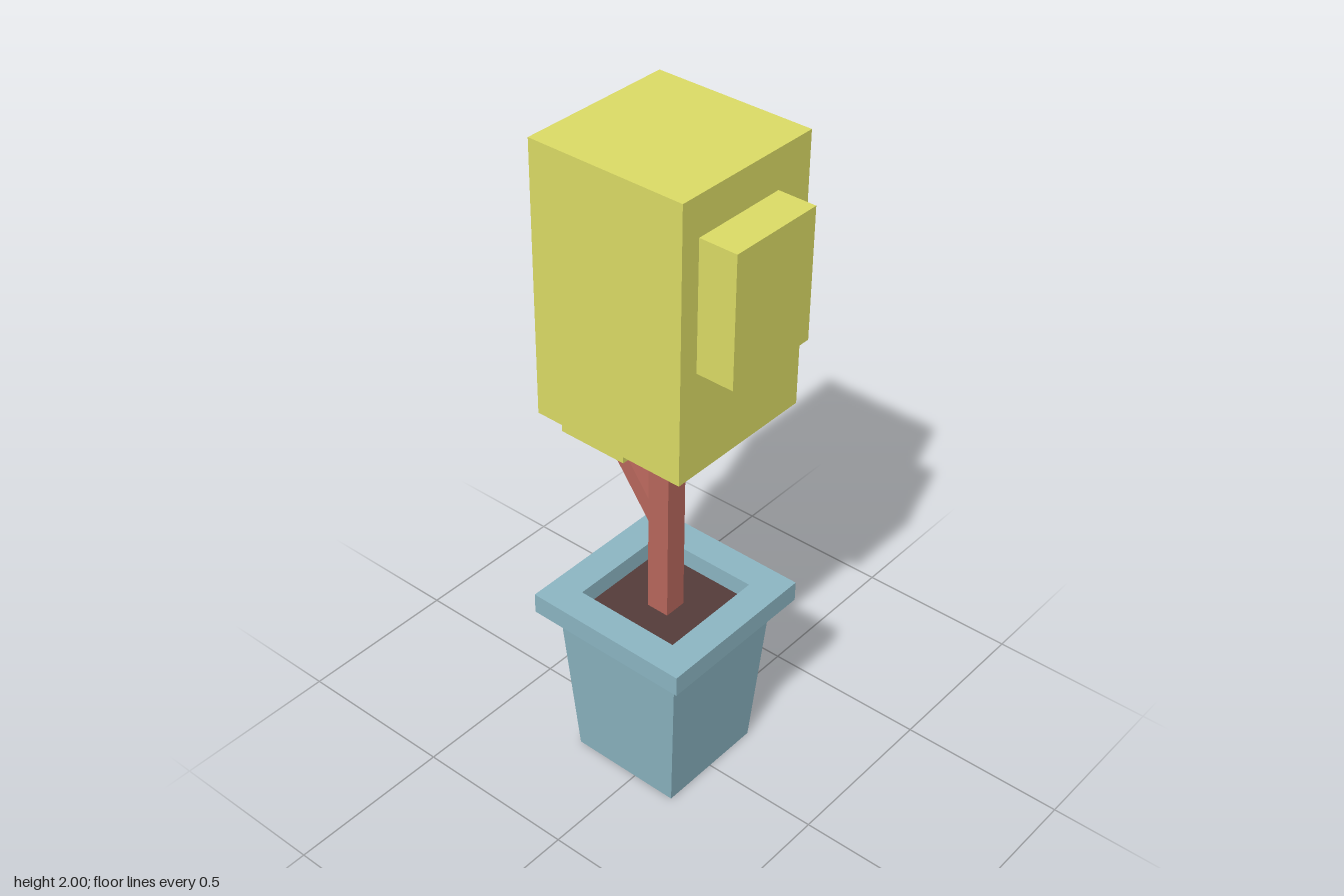
import * as THREE from 'three';

const mat = (color) => new THREE.MeshStandardMaterial({ color, flatShading: true });
const leafMat = mat(0xdcdc66);
const barkMat = mat(0xb8675c);
const potMat = mat(0x8cb6c3);
const soilMat = mat(0x553c3a);

function part(name, geometry, material) {
  const mesh = new THREE.Mesh(geometry, material);
  mesh.name = name;
  return mesh;
}

// Box given by its limits on each axis
function block(name, material, [x0, x1], [y0, y1], [z0, z1]) {
  const mesh = part(name, new THREE.BoxGeometry(x1 - x0, y1 - y0, z1 - z0), material);
  mesh.position.set((x0 + x1) / 2, (y0 + y1) / 2, (z0 + z1) / 2);
  return mesh;
}

// Square outline for the rim and its opening
const square = (h) => [[-h, -h], [h, -h], [h, h], [-h, h]].map(([x, y]) => new THREE.Vector2(x, y));

export function createModel() {
  const tree = new THREE.Group();
  tree.name = 'pottedTree';

  // Tapered square pot
  const bodyGeo = new THREE.CylinderGeometry(0.21 * Math.SQRT2, 0.175 * Math.SQRT2, 0.52, 4);
  bodyGeo.rotateY(Math.PI / 4).translate(0, 0.26, 0);
  tree.add(part('potBody', bodyGeo, potMat));

  // Rim with a square opening
  const rimShape = new THREE.Shape(square(0.258));
  rimShape.holes.push(new THREE.Path(square(0.165)));
  const rimGeo = new THREE.ExtrudeGeometry(rimShape, { depth: 0.063, bevelEnabled: false });
  rimGeo.rotateX(-Math.PI / 2).translate(0, 0.518, 0);
  tree.add(part('potRim', rimGeo, potMat));

  // Soil just below the rim
  tree.add(block('soil', soilMat, [-0.165, 0.165], [0.5, 0.524], [-0.165, 0.165]));

  // Trunk and slanted branch
  tree.add(block('trunk', barkMat, [-0.035, 0.035], [0.51, 1.23], [-0.035, 0.035]));
  const from = new THREE.Vector3(0, 0.79, 0);
  const to = new THREE.Vector3(-0.207, 1.07, 0);
  const branch = part('branch', new THREE.BoxGeometry(0.045, from.distanceTo(to), 0.045), barkMat);
  branch.position.lerpVectors(from, to, 0.5);
  branch.rotation.z = Math.atan2(from.x - to.x, to.y - from.y);
  tree.add(branch);

  // Foliage blocks
  tree.add(block('crown', leafMat, [-0.238, 0.238], [1.2, 1.995], [-0.238, 0.236]));
  tree.add(block('leftFoliage', leafMat, [0.13, 0.35], [1.507, 1.882], [-0.117, 0.176]));
  tree.add(block('rightFoliage', leafMat, [-0.319, -0.097], [1.008, 1.379], [-0.157, 0.066]));

  // The whole plant leans slightly to its left
  tree.rotation.z = -0.0125;
  tree.position.set(-0.036, 0.0022, 0);

  const model = new THREE.Group();
  model.add(tree);
  return model;
}
